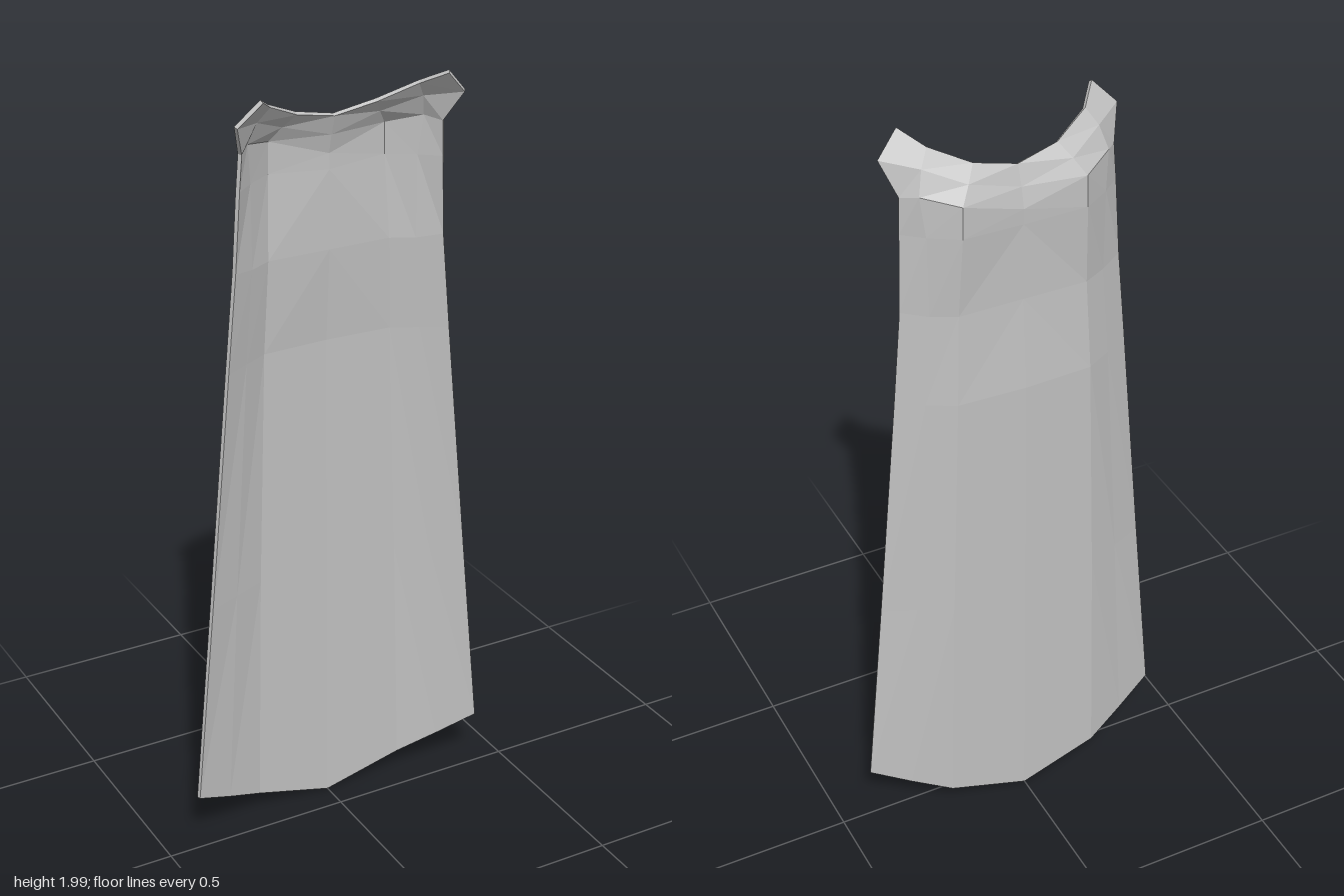
import * as THREE from 'three';

const THICKNESS = 0.01;

// Cross-sections from hem to collar; each lists centre, fold, shoulder and edge of the +x half
const SECTIONS = [
  [[0, 0.005, -0.078], [0.21, 0.065, -0.068], [0.314, 0.11, -0.034], [0.416, 0.158, 0]],
  [[0, 0.7, -0.078], [0.195, 0.7, -0.07], [0.28, 0.7, -0.035], [0.364, 0.7, 0]],
  [[0, 1.32, -0.077], [0.175, 1.32, -0.07], [0.241, 1.32, -0.035], [0.306, 1.32, 0]],
  [[0, 1.56, -0.06], [0.165, 1.56, -0.06], [0.224, 1.56, -0.03], [0.283, 1.57, 0.002]],
  [[0, 1.76, -0.06], [0.157, 1.77, -0.072], [0.225, 1.77, -0.03], [0.273, 1.77, 0.01]],
  [[0, 1.8, -0.061], [0.155, 1.85, -0.071], [0.235, 1.87, -0.02], [0.268, 1.86, 0.015]],
  [[0, 1.85, -0.049], [0.13, 1.888, -0.048], [0.22, 1.925, 0], [0.298, 1.938, 0.058]],
  [[0, 1.9, -0.032], [0.105, 1.922, -0.02], [0.196, 1.964, 0.022], [0.242, 1.996, 0.078]],
];

function createCloth() {
  // Mirror every half section into a full row from -x to +x
  const rows = SECTIONS.map((half) => [
    ...half.slice(1).reverse().map(([x, y, z]) => [-x, y, z]),
    ...half,
  ]);
  const cols = rows[0].length;
  const count = rows.length * cols;
  const id = (r, c) => r * cols + c;

  // Middle sheet, used for the thickness direction
  const front = [];
  for (let r = 0; r < rows.length - 1; r++) {
    for (let c = 0; c < cols - 1; c++) {
      const [a, b, d, e] = [id(r, c), id(r, c + 1), id(r + 1, c + 1), id(r + 1, c)];
      // Diagonals mirror about the centre line
      if (c < (cols - 1) / 2) front.push(a, b, d, a, d, e);
      else front.push(a, b, e, b, d, e);
    }
  }
  const sheet = new THREE.BufferGeometry();
  sheet.setAttribute('position', new THREE.Float32BufferAttribute(rows.flat(2), 3));
  sheet.setIndex(front);
  sheet.computeVertexNormals();

  // Front and back skins
  const points = [];
  const p = new THREE.Vector3();
  const n = new THREE.Vector3();
  for (const side of [0.5, -0.5]) {
    for (let i = 0; i < count; i++) {
      p.fromBufferAttribute(sheet.attributes.position, i);
      n.fromBufferAttribute(sheet.attributes.normal, i);
      p.addScaledVector(n, side * THICKNESS);
      points.push(p.x, p.y, p.z);
    }
  }
  const index = [...front];
  for (let i = 0; i < front.length; i += 3) {
    index.push(front[i] + count, front[i + 2] + count, front[i + 1] + count);
  }

  // Rim joining the skins around hem, sides and collar
  const rim = [];
  const last = rows.length - 1;
  for (let c = 0; c < cols - 1; c++) rim.push(id(0, c));
  for (let r = 0; r < last; r++) rim.push(id(r, cols - 1));
  for (let c = cols - 1; c > 0; c--) rim.push(id(last, c));
  for (let r = last; r > 0; r--) rim.push(id(r, 0));
  rim.forEach((a, i) => {
    const b = rim[(i + 1) % rim.length];
    index.push(a, a + count, b + count, a, b + count, b);
  });

  const geometry = new THREE.BufferGeometry();
  geometry.setAttribute('position', new THREE.Float32BufferAttribute(points, 3));
  geometry.setIndex(index);
  const faceted = geometry.toNonIndexed();
  faceted.computeVertexNormals();
  return faceted;
}

export function createModel() {
  const group = new THREE.Group();
  group.name = 'cape';
  const cloth = new THREE.MeshStandardMaterial({ color: 0xc0c0c0, flatShading: true });
  cloth.name = 'grey cloth';
  const mesh = new THREE.Mesh(createCloth(), cloth);
  mesh.name = 'capeCloth';
  group.add(mesh);
  return group;
}
